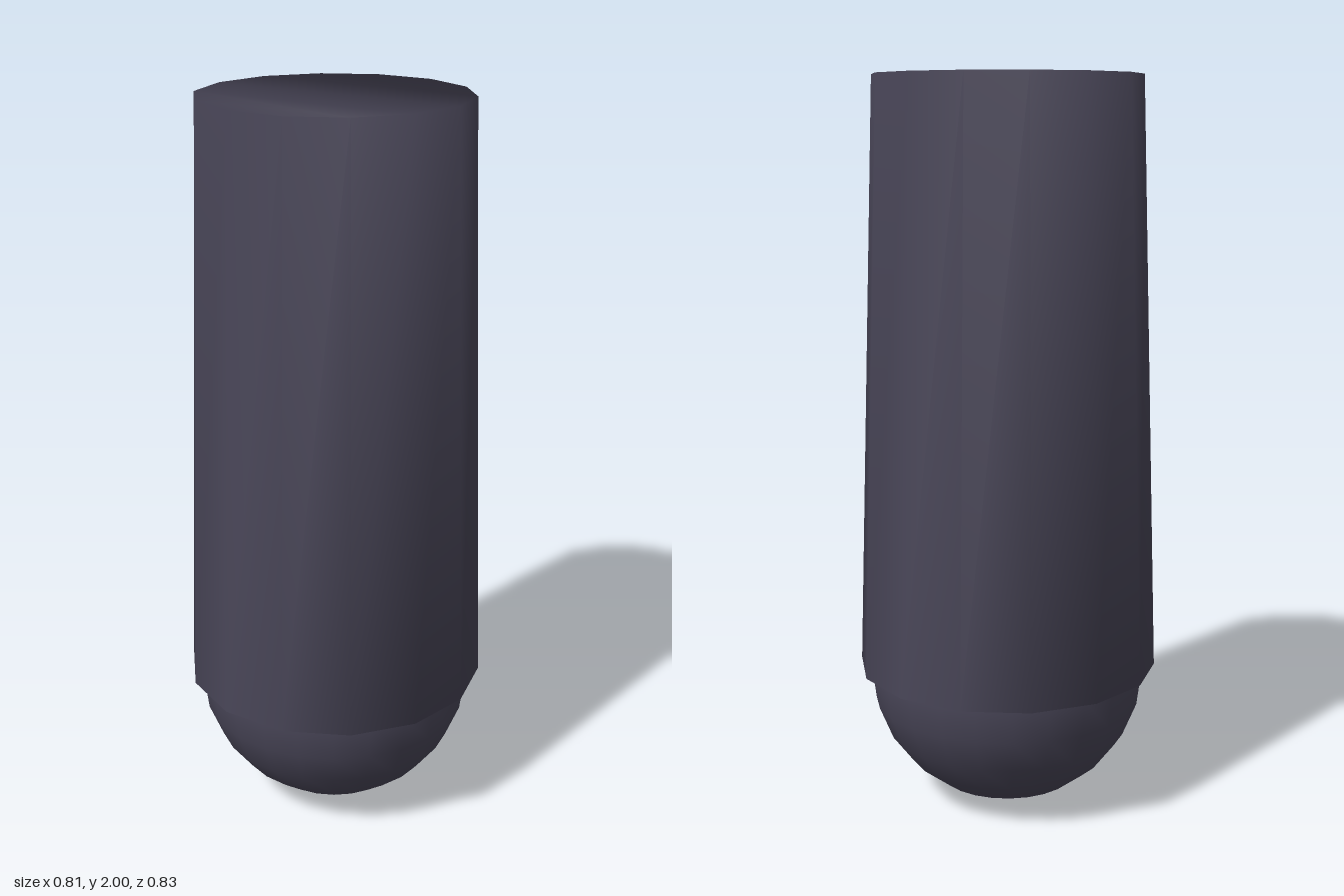
import * as THREE from 'three';

const SIDES = 14;

// Closed tapered prism; walls and caps share vertices so the shading is smooth across the rims
function taperedBody(rBottom, rTop, yBottom, yTop) {
  const positions = [];
  for (const [r, y] of [[rBottom, yBottom], [rTop, yTop]]) {
    for (let k = 0; k < SIDES; k++) {
      const a = (k / SIDES) * Math.PI * 2;
      positions.push(r * Math.sin(a), y, r * Math.cos(a));
    }
  }

  const index = [];
  for (let k = 0; k < SIDES; k++) {
    const n = (k + 1) % SIDES;
    index.push(k, n, SIDES + n, k, SIDES + n, SIDES + k);
  }

  // Caps: zigzag strip across the ring
  const order = [0];
  for (let k = 1; k <= SIDES / 2; k++) {
    order.push(k);
    if (k < SIDES / 2) order.push(SIDES - k);
  }
  for (let j = 0; j + 2 < SIDES; j++) {
    let [a, b, c] = order.slice(j, j + 3);
    if (j % 2) [b, c] = [c, b];
    index.push(SIDES + a, SIDES + b, SIDES + c); // top
    index.push(a, c, b); // bottom
  }

  const geometry = new THREE.BufferGeometry();
  geometry.setAttribute('position', new THREE.Float32BufferAttribute(positions, 3));
  geometry.setIndex(index);
  geometry.computeVertexNormals();
  return geometry;
}

export function createModel() {
  const group = new THREE.Group();
  const material = new THREE.MeshStandardMaterial({ color: 0x494658 });

  // Tapered shaft, slightly wider at the lower rim
  const shaft = new THREE.Mesh(taperedBody(0.414, 0.36, 0.385, 2), material);
  shaft.name = 'shaft';
  group.add(shaft);

  // Ball set into the lower end
  const radius = 0.383;
  const ball = new THREE.Mesh(new THREE.SphereGeometry(radius, 24, 12), material);
  ball.name = 'roundedTip';
  ball.position.y = radius;
  group.add(ball);

  return group;
}
